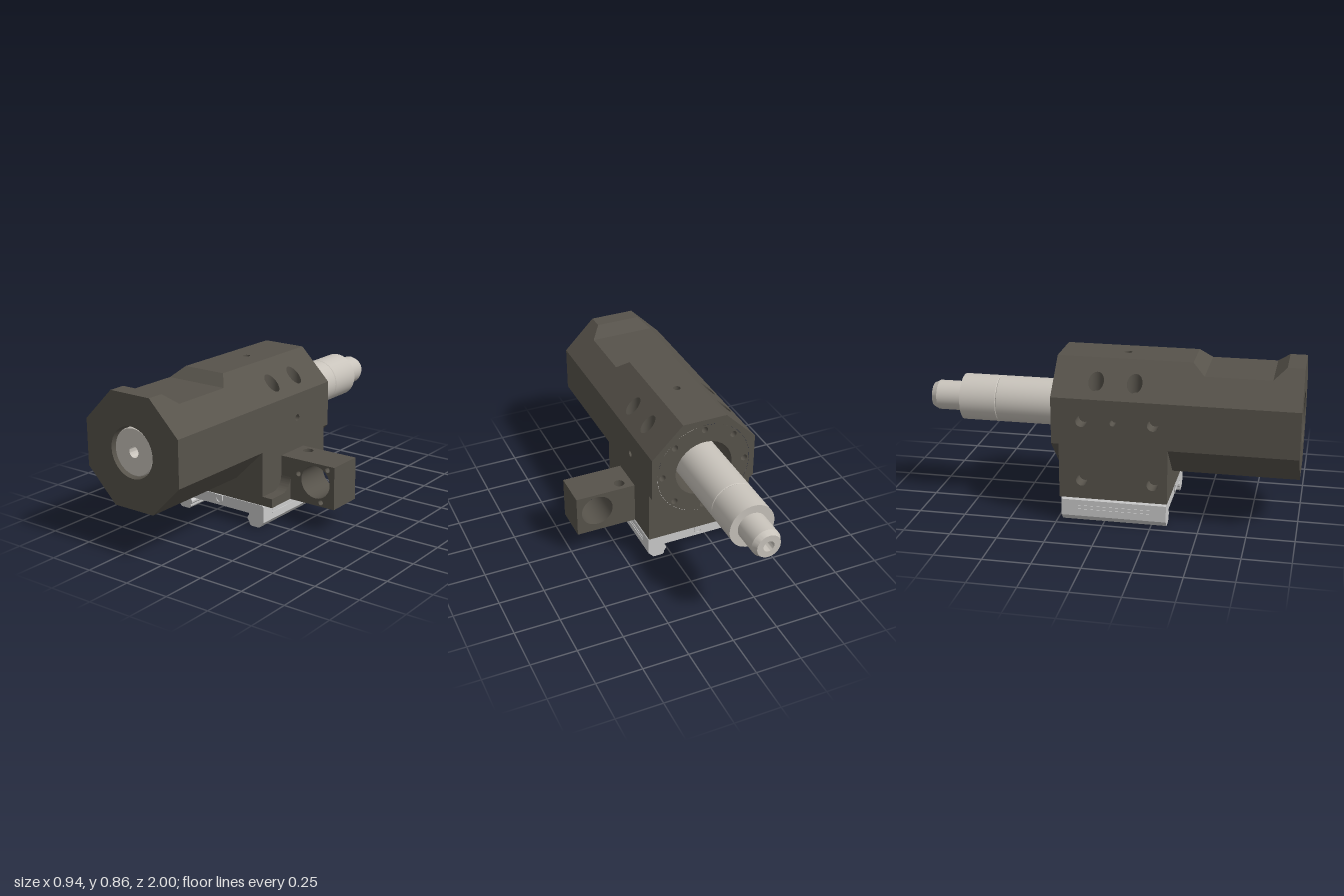
import * as THREE from 'three';
import { mergeGeometries, toCreasedNormals } from 'three/addons/utils/BufferGeometryUtils.js';

const V = (x, y, z) => new THREE.Vector3(x, y, z);
const dark = new THREE.MeshStandardMaterial({ color: 0x57534b });
const steel = new THREE.MeshStandardMaterial({ color: 0xc8c3bb });
const grey = new THREE.MeshStandardMaterial({ color: 0xcccccc });
const CX = -0.17, CY = 0.555;

// A hole at p with radii r along the panel's two axes; d is its depth vector
const hole = (p, r, d = null, floor = true) => ({ p: V(...p), r: [].concat(r, r), d: d && V(...d), floor });

// Flat face through corner points (counter-clockwise from outside), with bored holes
function panel(pts, holes = []) {
  const o = pts[0];
  const u = pts[1].clone().sub(o).normalize();
  const n = u.clone().cross(pts[pts.length - 1].clone().sub(o)).normalize();
  const v = n.clone().cross(u);
  const local = (d) => V(d.dot(u), d.dot(v), d.dot(n));
  const shape = new THREE.Shape(pts.map((p) => {
    const q = local(p.clone().sub(o));
    return new THREE.Vector2(q.x, q.y);
  }));
  const geos = [];
  for (const h of holes) {
    const c = local(h.p.clone().sub(o)), N = 32, ring = [], pos = [], idx = [];
    for (let i = 0; i < N; i++) {
      const a = (i / N) * Math.PI * 2;
      ring.push(new THREE.Vector2(c.x + h.r[0] * Math.cos(a), c.y + h.r[1] * Math.sin(a)));
    }
    shape.holes.push(new THREE.Path(ring));
    if (!h.d) continue;
    const d = local(h.d);
    ring.forEach((q, i) => {
      pos.push(q.x, q.y, 0, q.x + d.x, q.y + d.y, d.z);
      const a = 2 * i, b = 2 * ((i + 1) % N);
      idx.push(a, b, b + 1, a, b + 1, a + 1);
    });
    const wall = new THREE.BufferGeometry();
    wall.setAttribute('position', new THREE.Float32BufferAttribute(pos, 3));
    wall.setIndex(idx);
    wall.computeVertexNormals();
    geos.push(wall);
    if (h.floor) geos.push(new THREE.ShapeGeometry(new THREE.Shape(ring)).translate(d.x, d.y, d.z));
  }
  geos.push(new THREE.ShapeGeometry(shape));
  const m = new THREE.Matrix4().makeBasis(u, v, n).setPosition(o);
  return mergeGeometries(geos.map((g) => {
    g.deleteAttribute('uv');
    return g.applyMatrix4(m).toNonIndexed();
  }));
}

const at = (profile, z) => profile.map(([x, y]) => V(x, y, z));

// Side faces between two matching profiles; holes are listed by edge number
function sides(pa, za, pb, zb, holes = {}, skip = []) {
  const A = at(pa, za), B = at(pb, zb), out = [];
  A.forEach((a, i) => {
    const j = (i + 1) % A.length;
    if (!skip.includes(i)) out.push(panel([a, A[j], B[j], B[i]], holes[i]));
  });
  return out;
}

const circle = (r) => Array.from({ length: 32 }, (_, i) => {
  const a = (i / 32) * Math.PI * 2;
  return [CX + r * Math.cos(a), CY + r * Math.sin(a)];
});

// Octagon section, its top lowered by c
const octagon = (c) => [
  [-0.125, -0.3], [0.125, -0.3], [0.3, -0.125], [0.3, 0.125],
  [0.125 + c, 0.3 - c], [-0.125 - c, 0.3 - c], [-0.3, 0.125], [-0.3, -0.125],
].map(([x, y]) => [x + CX, y + CY]);

export function createModel() {
  const model = new THREE.Group();
  const add = (name, geo, mat) => {
    const mesh = new THREE.Mesh(geo, mat);
    mesh.name = name;
    model.add(mesh);
    return mesh;
  };

  // Octagonal housing with a notch across its top
  const screwZ = [0.15, -0.05];
  const stations = [[-0.275, 0], [0.435, 0], [0.5, 0.055], [0.845, 0.055], [0.91, 0], [1, 0]];
  const bores = {
    2: [hole([0.13, 0.545, 0.02], 0.018, [-0.06, 0, 0])],
    3: screwZ.map((z) => hole([0.055, 0.755, z], [0.04 * Math.SQRT2, 0.04], [0, -0.1, 0])),
    4: [hole([CX, 0.855, 0.075], 0.02, [0, -0.06, 0])],
    5: screwZ.map((z) => hole([-0.395, 0.755, z], [0.04 * Math.SQRT2, 0.04], [0, -0.1, 0])),
    6: [hole([-0.47, 0.56, -0.115], 0.03, [0.08, 0, 0]), hole([-0.47, 0.56, 0.257], 0.03, [0.08, 0, 0]),
      hole([-0.47, 0.56, 0.05], 0.016, [0.06, 0, 0])],
  };
  const housing = [];
  for (let i = 0; i < stations.length - 1; i++) {
    const [za, ca] = stations[i], [zb, cb] = stations[i + 1];
    housing.push(...sides(octagon(ca), za, octagon(cb), zb, i === 0 ? bores : {}));
  }
  housing.push(panel(at(octagon(0), 1), [hole([CX, CY, 1], 0.136, [0, 0, -1], false)]));
  housing.push(panel(at(octagon(0), -0.275).reverse(), [hole([CX, CY, -0.275], 0.27)]));
  housing.push(panel(at(circle(0.165), 0).reverse(), [hole([CX, CY, 0], 0.136)]));
  add('housing', mergeGeometries(housing), dark);

  // Rear flange with a ring of eight bolt holes
  const boltHoles = Array.from({ length: 8 }, (_, i) => {
    const a = (i * Math.PI) / 4;
    return hole([CX + 0.24 * Math.cos(a), CY + 0.24 * Math.sin(a), -0.275], 0.018, [0, 0, 0.06]);
  });
  add('rearFlange', panel(at(circle(0.269), -0.275).reverse(),
    [hole([CX, CY, -0.275], 0.165, [0, 0, 0.275], false), ...boltHoles]), dark);

  // Screws in the sloped faces
  for (const x of [-0.395, 0.055]) for (const z of screwZ) {
    const s = add('setScrew', new THREE.CylinderGeometry(0.025, 0.025, 0.1, 20), dark);
    s.position.set(x, 0.635, z);
    const tip = add('screwSocket', new THREE.CylinderGeometry(0.012, 0.012, 0.01, 6), steel);
    tip.position.set(x, 0.685, z);
  }

  // Base block cradling the housing
  const blockProfile = [[-0.47, 0.135], [0.13, 0.135], [0.13, 0.43], [-0.045, 0.255], [-0.295, 0.255], [-0.47, 0.43]];
  const blockHoles = [-0.115, 0.257].map((z) => hole([-0.47, 0.235, z], 0.03, [0.08, 0, 0]));
  add('baseBlock', mergeGeometries([
    ...sides(blockProfile, -0.235, blockProfile, 0.335, { 5: blockHoles }, [2, 3, 4]),
    panel(at(blockProfile, 0.335)), panel(at(blockProfile, -0.235).reverse()),
  ]), dark);

  // Side bracket with a large ring bore
  const arm = [[0.13, 0.135], [0.47, 0.135], [0.47, 0.37], [0.13, 0.37]];
  const zf = 0.168, zb = -0.037;
  const pins = [[0.243, 0.29], [0.427, 0.348], [0.387, 0.158]];
  add('sideBracket', mergeGeometries([
    ...sides(arm, zb, arm, zf, {
      0: [hole([0.2, 0.135, 0.015], 0.029)],
      2: [hole([0.2, 0.37, 0.015], 0.029, [0, -0.235, 0], false)],
    }, [3]),
    panel(at(arm, zf), [hole([0.352, 0.265, zf], 0.09, [0, 0, zb - zf], false),
      ...pins.map(([x, y]) => hole([x, y, zf], 0.014, [0, 0, -0.06]))]),
    panel(at(arm, zb).reverse(), [hole([0.352, 0.265, zb], 0.09)]),
  ]), dark);

  // Filleted foot in front of the bracket
  const foot = new THREE.Shape();
  foot.moveTo(-0.335, 0.135);
  foot.lineTo(-zf, 0.135);
  foot.lineTo(-zf, 0.26);
  foot.absarc(-zf - 0.075, 0.26, 0.075, 0, -Math.PI / 2, true);
  foot.lineTo(-0.335, 0.185);
  const footGeo = new THREE.ExtrudeGeometry(foot, { depth: 0.06, bevelEnabled: false, curveSegments: 12 });
  add('bracketFoot', toCreasedNormals(footGeo.rotateY(Math.PI / 2).translate(0.13, 0, 0), 0.5), dark);

  // Hollow stepped shaft
  const shaftProfile = [
    [0.03, -1], [0.065, -1], [0.08, -0.97], [0.08, -0.825], [0.125, -0.825], [0.125, -0.629], [0.122, -0.625],
    [0.125, -0.621], [0.125, 0.98], [0.121, 0.985], [0.03, 0.985], [0.03, -1],
  ].map(([r, y]) => new THREE.Vector2(r, y));
  const shaft = toCreasedNormals(new THREE.LatheGeometry(shaftProfile, 48), 0.4);
  add('shaft', shaft.rotateX(Math.PI / 2).translate(CX, CY, 0), steel);

  // Rail clamp: hooked jaw profile mirrored about its centre line
  const half = [[0.19, 0.07], [0.205, 0.07], [0.205, 0.06], [0.194, 0.047], [0.194, 0.036], [0.205, 0.025],
    [0.205, 0.012], [0.216, 0], [0.27, 0], [0.3, 0.033], [0.3, 0.122], [0.292, 0.13]];
  const outline = [...half, ...half.map(([x, y]) => [-x, y]).reverse()];
  const clamp = new THREE.ExtrudeGeometry(
    new THREE.Shape(outline.map(([x, y]) => new THREE.Vector2(x + CX, y))),
    { depth: 0.555, bevelEnabled: false });
  add('railClamp', clamp.translate(0, 0, -0.225), grey);
  add('clampSpacer', new THREE.BoxGeometry(0.24, 0.01, 0.395).translate(CX, 0.131, 0.053), grey);

  // Grip ribs on both clamp flanks
  for (const s of [-1, 1]) for (const y of [0.07, 0.09]) {
    add('gripRib', new THREE.BoxGeometry(0.006, 0.006, 0.395).translate(CX + s * 0.3, y, 0.053), grey);
  }

  // Rounded screw tabs at both clamp ends
  const tab = new THREE.Shape();
  tab.moveTo(-0.025, 0.13);
  tab.lineTo(-0.025, 0.105);
  tab.absarc(0, 0.105, 0.025, Math.PI, Math.PI * 2, false);
  tab.lineTo(0.025, 0.13);
  tab.holes.push(new THREE.Path().absarc(0, 0.105, 0.015, 0, Math.PI * 2, true));
  for (const z of [-0.23, 0.329]) {
    const g = new THREE.ExtrudeGeometry(tab, { depth: 0.006, bevelEnabled: false });
    add('screwTab', g.translate(CX, 0, z), grey);
  }
  return model;
}
